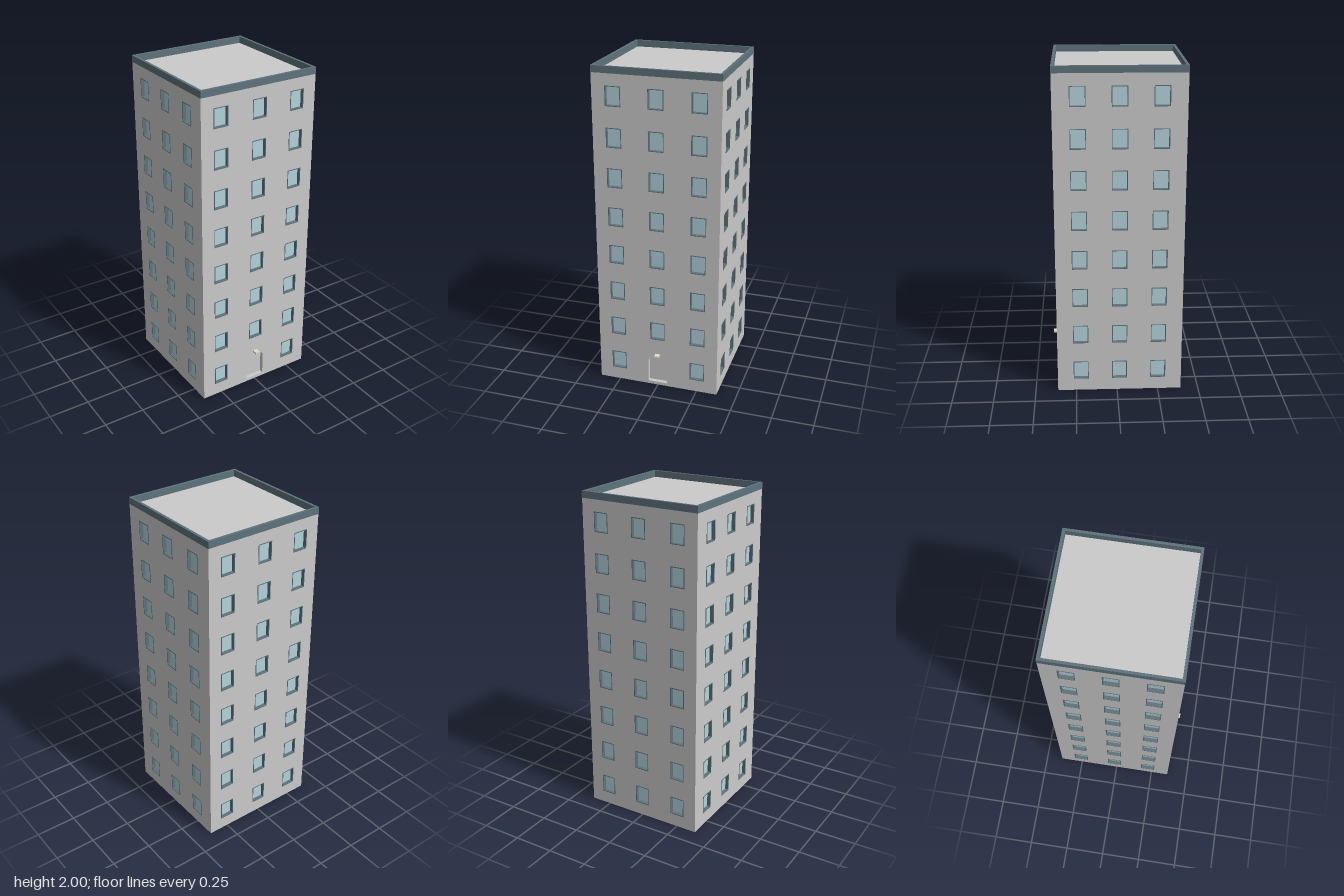
import * as THREE from 'three';

const W = 0.756, D = 0.756, H = 1.96, T = 0.03, CZ = -0.015;
const FLOORS = 8, FLOOR_STEP = 0.242, FIRST = 0.138;

const wallMat = new THREE.MeshStandardMaterial({ color: 0xcccccc });
const trimMat = new THREE.MeshStandardMaterial({ color: 0x5f747c });
const glassMat = new THREE.MeshStandardMaterial({ color: 0xb4d4dc });
const lampMat = new THREE.MeshStandardMaterial({ color: 0xe6dfc0 });

function add(parent, name, geometry, material, x = 0, y = 0, z = 0) {
  const mesh = new THREE.Mesh(geometry, material);
  mesh.name = name;
  mesh.position.set(x, y, z);
  parent.add(mesh);
  return mesh;
}

// Centred rectangle traced onto a shape or path
function rect(path, x, y, w, h) {
  path.moveTo(x - w / 2, y - h / 2);
  path.lineTo(x + w / 2, y - h / 2);
  path.lineTo(x + w / 2, y + h / 2);
  path.lineTo(x - w / 2, y + h / 2);
  path.closePath();
  return path;
}

// Doorway outline with rounded upper corners
function doorway(path) {
  const w = 0.061, y0 = 0.02, y1 = 0.18, r = 0.018;
  path.moveTo(-w, y0);
  path.lineTo(w, y0);
  path.lineTo(w, y1 - r);
  path.quadraticCurveTo(w, y1, w - r, y1);
  path.lineTo(-w + r, y1);
  path.quadraticCurveTo(-w, y1, -w, y1 - r);
  path.closePath();
  return path;
}

const extrude = (shape, depth) =>
  new THREE.ExtrudeGeometry(shape, { depth, bevelEnabled: false, curveSegments: 4 });

// Window surround: a thin rectangular tube lining the opening
const frameShape = rect(new THREE.Shape(), 0, 0, 0.092, 0.117);
frameShape.holes.push(rect(new THREE.Path(), 0, 0, 0.083, 0.108));
const frameGeo = extrude(frameShape, 0.026);
const paneGeo = new THREE.PlaneGeometry(0.09, 0.115);

// One facade, outer face at local z = 0
function facade(name, width, spacing, hasDoor) {
  const group = new THREE.Group();
  group.name = name;
  const shape = rect(new THREE.Shape(), 0, H / 2, width, H);
  for (let floor = 0; floor < FLOORS; floor++) {
    for (let col = -1; col <= 1; col++) {
      if (hasDoor && floor === 0 && col === 0) continue;
      const x = col * spacing, y = FIRST + floor * FLOOR_STEP;
      shape.holes.push(rect(new THREE.Path(), x, y, 0.091, 0.116));
      add(group, 'windowFrame', frameGeo, trimMat, x, y, -0.024);
      add(group, 'windowPane', paneGeo, glassMat, x, y, -0.02);
    }
  }
  if (hasDoor) {
    shape.holes.push(doorway(new THREE.Path()));
    add(group, 'door', new THREE.ShapeGeometry(doorway(new THREE.Shape())), wallMat, 0, 0, -0.025);
  }
  add(group, 'wall', extrude(shape, T), wallMat, 0, 0, -T);
  return group;
}

export function createModel() {
  const model = new THREE.Group();
  model.name = 'apartmentTower';
  const building = new THREE.Group();
  building.name = 'building';
  building.position.z = CZ;
  model.add(building);

  // Four facades; side walls fit between the front and back walls
  const sides = [
    ['frontFacade', 0], ['leftFacade', 1], ['backFacade', 2], ['rightFacade', 3],
  ];
  for (const [name, turn] of sides) {
    const isSide = turn % 2 === 1;
    const f = facade(name, isSide ? D - 2 * T : W, isSide ? 0.235 : 0.252, turn === 0);
    const angle = turn * Math.PI / 2, reach = (isSide ? W : D) / 2;
    f.rotation.y = angle;
    f.position.set(Math.sin(angle) * reach, 0, Math.cos(angle) * reach);
    building.add(f);
  }

  // Floor slab and roof deck
  add(building, 'floorSlab', new THREE.BoxGeometry(W - 2 * T, 0.02, D - 2 * T), wallMat, 0, 0.01, 0);
  add(building, 'roofDeck', new THREE.BoxGeometry(W - 2 * T, 0.02, D - 2 * T), wallMat, 0, H - 0.01, 0);

  // Parapet ring around the roof
  const ring = rect(new THREE.Shape(), 0, 0, W + 0.002, D + 0.002);
  ring.holes.push(rect(new THREE.Path(), 0, 0, W - 0.03, D - 0.03));
  const parapet = add(building, 'parapet', extrude(ring, 0.04), trimMat, 0, H, 0);
  parapet.rotation.x = -Math.PI / 2;

  // Lamp above the door
  add(building, 'doorLamp', new THREE.BoxGeometry(0.028, 0.013, 0.03), lampMat, 0, 0.215, D / 2 + 0.015);
  return model;
}
